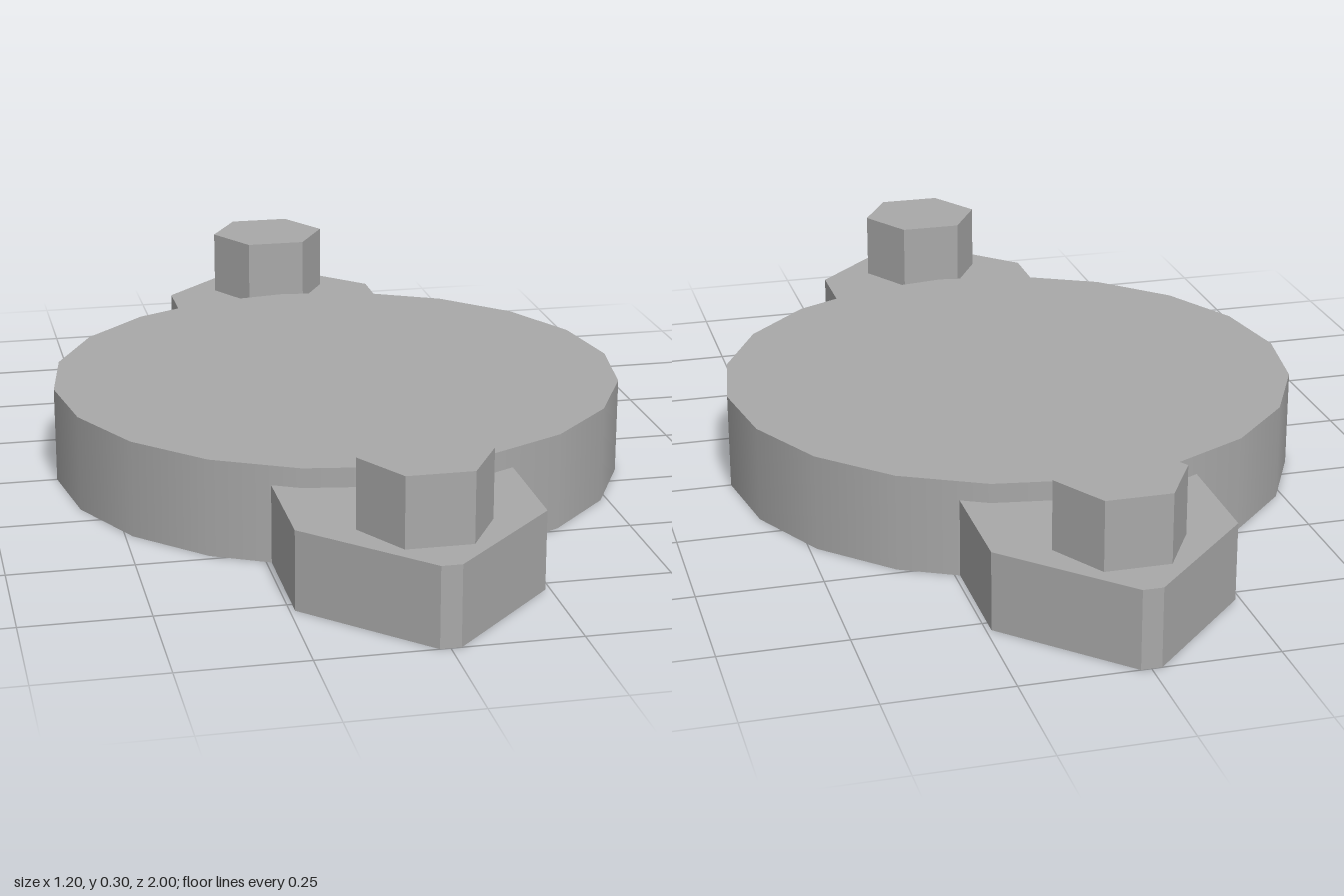
import * as THREE from 'three';

const grey = new THREE.MeshStandardMaterial({ color: 0xa8a8a8 });
grey.name = 'grey';

// Upright flat-sided prism from a plan outline; outline y points towards the back
function prism(name, outline, height) {
  const shape = new THREE.Shape(outline.map(([x, y]) => new THREE.Vector2(x, y)));
  const geometry = new THREE.ExtrudeGeometry(shape, { depth: height, bevelEnabled: false });
  geometry.rotateX(-Math.PI / 2);
  const mesh = new THREE.Mesh(geometry, grey);
  mesh.name = name;
  return mesh;
}

// Point on a circle in plan
const polar = (radius, degrees) => {
  const a = THREE.MathUtils.degToRad(degrees);
  return [radius * Math.cos(a), radius * Math.sin(a)];
};

export function createModel() {
  const model = new THREE.Group();
  model.name = 'flangedCap';

  // Round body, 20 sides with smooth walls
  const body = new THREE.Mesh(new THREE.CylinderGeometry(0.6, 0.6, 0.2, 20), grey);
  body.name = 'body';
  body.position.y = 0.1;
  model.add(body);

  // Lug outline: inner edge follows the body, outer end tapers to a blunt tip
  const lugOutline = [
    [0.24, 0.543], [0.24, 0.78], [0.02, 1], [-0.02, 1], [-0.24, 0.78], [-0.24, 0.543],
    polar(0.6, 108), polar(0.6, 90), polar(0.6, 72),
  ];
  const hexagon = Array.from({ length: 6 }, (_, i) => polar(0.13, i * 60));

  // Matching lug and hex bolt at the back and the front
  for (const [side, turn] of [['back', 0], ['front', Math.PI]]) {
    const mount = new THREE.Group();
    mount.name = side + 'Mount';
    mount.add(prism(side + 'Lug', lugOutline, 0.16));
    const bolt = prism(side + 'HexBolt', hexagon, 0.14);
    bolt.position.set(0, 0.16, -0.8);
    mount.add(bolt);
    mount.rotation.y = turn;
    model.add(mount);
  }
  return model;
}
